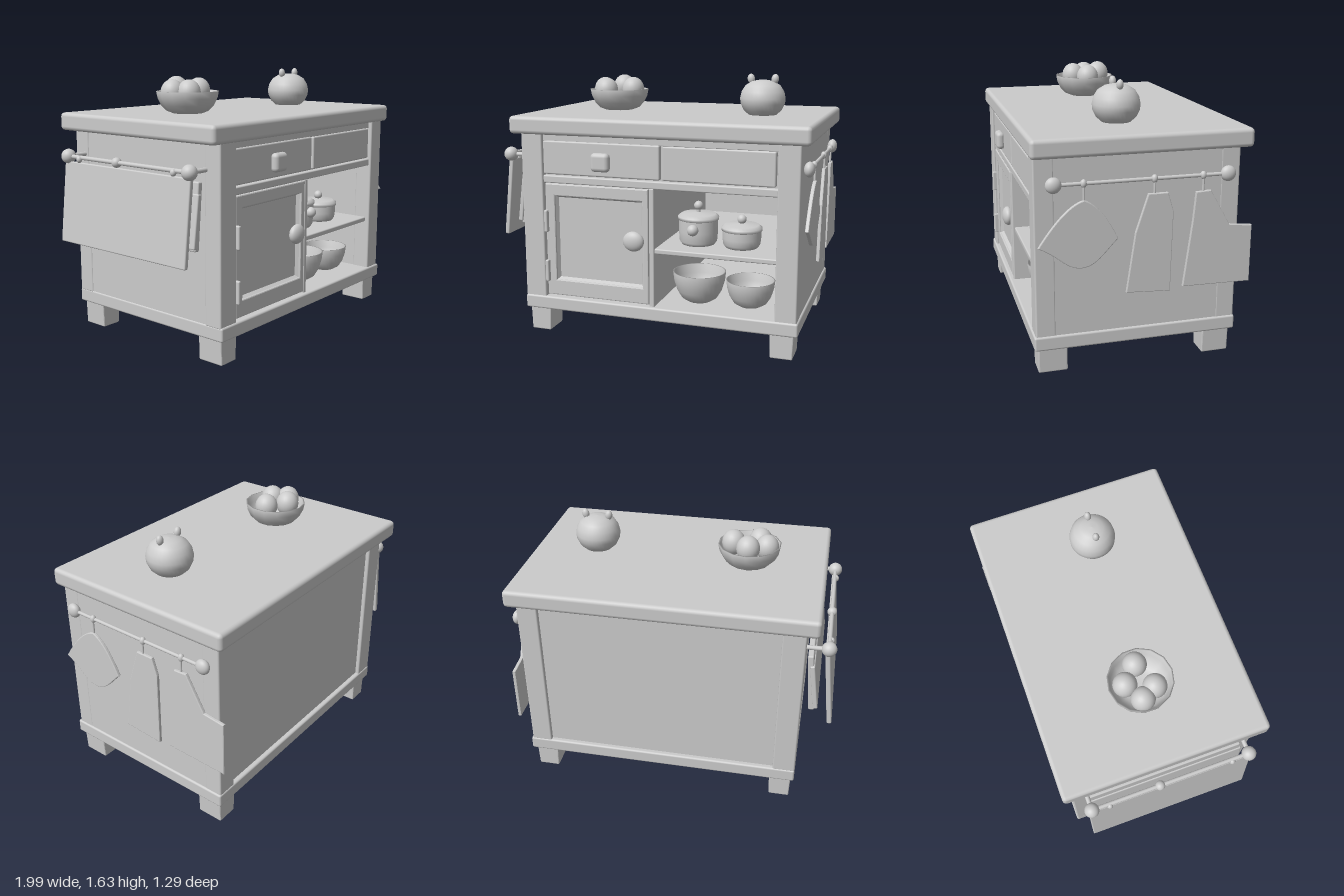
import * as THREE from 'three';
import { RoundedBoxGeometry } from 'three/addons/geometries/RoundedBoxGeometry.js';

const mat = new THREE.MeshStandardMaterial({ color: 0xcccccc });
const thin = new THREE.MeshStandardMaterial({ color: 0xcccccc, side: THREE.DoubleSide });

export function createModel() {
  const model = new THREE.Group();

  function add(name, geometry, x = 0, y = 0, z = 0, material = mat, parent = model) {
    const mesh = new THREE.Mesh(geometry, material);
    mesh.name = name;
    mesh.position.set(x, y, z);
    parent.add(mesh);
    return mesh;
  }
  // Box given by its limits on each axis, with softened edges
  function box(name, x0, x1, y0, y1, z0, z1, r = 0.008) {
    return add(name, new RoundedBoxGeometry(x1 - x0, y1 - y0, z1 - z0, 2, r),
      (x0 + x1) / 2, (y0 + y1) / 2, (z0 + z1) / 2);
  }
  const ball = (name, r, x, y, z, sx = 1, sy = 1, sz = 1) => {
    const mesh = add(name, new THREE.SphereGeometry(r, 24, 16), x, y, z);
    mesh.scale.set(sx, sy, sz);
    return mesh;
  };
  const lathe = (name, points, x, y, z, segments = 32) =>
    add(name, new THREE.LatheGeometry(points.map(p => new THREE.Vector2(...p)), segments), x, y, z, thin);
  const rod = (name, r, length, x, y, z, axis) => {
    const mesh = add(name, new THREE.CylinderGeometry(r, r, length, 12), x, y, z);
    if (axis === 'z') mesh.rotation.x = Math.PI / 2;
    if (axis === 'x') mesh.rotation.z = Math.PI / 2;
    return mesh;
  };

  // Worktop, plinth and feet
  box('worktop', -0.875, 0.99, 1.265, 1.375, -0.635, 0.635, 0.025);
  box('plinth', -0.80, 0.945, 0.15, 0.235, -0.58, 0.625, 0.012);
  for (const [x0, x1] of [[-0.78, -0.64], [0.775, 0.92]]) {
    for (const [z0, z1] of [[0.43, 0.6], [-0.555, -0.39]]) {
      const foot = box('foot', x0, x1, 0, 0.165, z0, z1, 0.008);
      // Narrow each foot slightly towards the floor
      const p = foot.geometry.attributes.position;
      for (let i = 0; i < p.count; i++) if (p.getY(i) < 0) p.setX(i, p.getX(i) * 0.92);
      foot.geometry.computeVertexNormals();
    }
  }

  // Corner posts and carcass panels
  for (const [x0, x1] of [[-0.8, -0.66], [0.805, 0.935]]) {
    box('frontPost', x0, x1, 0.225, 1.275, 0.5, 0.615, 0.01);
    box('backPost', x0, x1, 0.225, 1.275, -0.575, -0.46, 0.01);
  }
  box('leftSidePanel', 0.81, 0.933, 0.225, 1.275, -0.56, 0.6, 0.004);
  box('rightSidePanel', -0.795, -0.67, 0.225, 1.275, -0.56, 0.6, 0.004);
  box('backPanel', -0.7, 0.84, 0.225, 1.275, -0.55, -0.52, 0.004);
  box('topRail', -0.67, 0.815, 1.225, 1.275, 0.5, 0.59, 0.004);
  box('drawerRail', -0.67, 0.815, 0.965, 1.012, -0.53, 0.6);
  box('divider', 0.03, 0.062, 0.225, 0.97, -0.53, 0.6);
  box('shelf', 0.05, 0.815, 0.565, 0.597, -0.53, 0.585);
  box('drawerBacking', -0.67, 0.815, 1.0, 1.25, 0.5, 0.565, 0.004);

  // Drawers
  box('rightDrawer', -0.66, 0.098, 1.02, 1.228, 0.53, 0.6, 0.01);
  box('leftDrawer', 0.115, 0.792, 1.02, 1.225, 0.53, 0.6, 0.01);
  box('drawerKnob', -0.33, -0.21, 1.055, 1.17, 0.59, 0.645, 0.026);

  // Door: frame, sloping inner edge and sunken panel
  const door = new THREE.Group();
  door.name = 'door';
  model.add(door);
  const rectangle = (P, x0, x1, y0, y1) => {
    const path = new P();
    path.moveTo(x0, y0); path.lineTo(x1, y0); path.lineTo(x1, y1); path.lineTo(x0, y1);
    path.closePath();
    return path;
  };
  const frame = rectangle(THREE.Shape, -0.645, 0.02, 0.252, 0.955);
  frame.holes.push(rectangle(THREE.Path, -0.595, -0.005, 0.34, 0.893));
  add('doorFrame', new THREE.ExtrudeGeometry(frame, {
    depth: 0.04, bevelEnabled: true, bevelSize: 0.007, bevelThickness: 0.007, bevelSegments: 2
  }), 0, 0, 0.555, mat, door);
  const slope = new THREE.CylinderGeometry(Math.SQRT1_2, Math.SQRT1_2 * 0.93, 0.03, 4, 1, true);
  slope.rotateY(Math.PI / 4).rotateX(Math.PI / 2);
  slope.scale(0.59, 0.553, 1);
  add('doorBevel', slope.toNonIndexed(), -0.3, 0.617, 0.585, thin, door).geometry.computeVertexNormals();
  add('doorPanel', new THREE.BoxGeometry(0.62, 0.6, 0.02), -0.3, 0.617, 0.56, mat, door);
  ball('doorKnob', 0.065, -0.065, 0.64, 0.61, 1.03, 0.95, 0.55);
  for (const y of [0.405, 0.725]) box('hinge', -0.655, -0.632, y - 0.07, y + 0.07, 0.59, 0.628, 0.008);

  // Lidded pots on the shelf
  function pot(x, z, r, height, knobY) {
    const y = 0.597;
    lathe('pot', [[0, 0], [r * 0.82, 0], [r * 0.93, 0.02], [r * 0.97, height * 0.5],
      [r * 0.96, height]], x, y, z);
    lathe('potLid', [[r * 0.9, height - 0.012], [r * 1.02, height - 0.01], [r * 1.02, height + 0.008],
      [r * 0.85, height + 0.024], [0, height + 0.034]], x, y, z);
    rod('lidStem', 0.012, 0.05, x, knobY - 0.03, z);
    ball('lidKnob', 0.028, x, knobY, z);
  }
  pot(0.27, 0.36, 0.125, 0.165, 0.835);
  pot(0.545, 0.36, 0.122, 0.115, 0.768);
  ball('potHandle', 0.035, 0.27, 0.705, 0.485);

  // Open bowls, walled inside and out
  function bowl(name, x, y, z, r, h, segments = 32) {
    const outer = [[0, 0], [0.45, 0], [0.68, 0.13], [0.85, 0.38], [0.96, 0.7], [1, 1]];
    const inner = [[0.95, 1], [0.9, 0.7], [0.78, 0.4], [0.6, 0.2], [0.4, 0.1], [0, 0.1]];
    return lathe(name, [...outer, ...inner].map(([a, b]) => [a * r, b * h]), x, y, z, segments);
  }
  bowl('largeMixingBowl', 0.285, 0.235, 0.38, 0.165, 0.188);
  bowl('smallMixingBowl', 0.61, 0.235, 0.38, 0.15, 0.162);

  // Bowl of eggs on the worktop
  bowl('eggBowl', -0.39, 1.373, 0.005, 0.195, 0.137, 14);
  for (const [x, y, z] of [[-0.39, 1.52, -0.09], [-0.5, 1.505, -0.02], [-0.29, 1.51, 0.005], [-0.45, 1.505, 0.07]])
    ball('egg', 0.072, x, y, z, 1, 1.1, 1);

  // Round jar with two ears, flattened underneath
  lathe('roundJar', [[0, 0], [0.085, 0], [0.118, 0.03], [0.138, 0.072], [0.141, 0.105], [0.132, 0.145],
    [0.108, 0.183], [0.07, 0.207], [0.035, 0.215], [0, 0.218]], 0.592, 1.373, 0.058);
  for (const side of [-1, 1]) {
    const ear = ball('jarEar', 0.023, 0.592 + side * 0.075, 1.595, 0.058, 1, 1.35, 0.9);
    ear.rotation.z = -side * 0.15;
  }

  // Side rails with ball ends and wall brackets
  function rail(x, wallX, r) {
    rod('rail', r, 1.0, x, 1.12, 0.01, 'z');
    for (const z of [-0.49, 0.51]) {
      ball('railEnd', 0.045, x, 1.12, z, x > 0 ? 0.7 : 1, 1, 1);
      rod('railBracket', 0.014, Math.abs(x - wallX), (x + wallX) / 2, 1.12, z, 'x');
    }
  }
  rail(0.965, 0.925, 0.011);
  rail(-0.93, -0.79, 0.013);

  // Cloths and board hanging on the left rail, outlined in (z, y)
  function hanging(name, shape, x, depth = 0.012) {
    const g = new THREE.ExtrudeGeometry(shape, {
      depth, bevelEnabled: true, bevelSize: 0.005, bevelThickness: 0.005, bevelSegments: 2, curveSegments: 10
    });
    add(name, g, x).rotation.y = -Math.PI / 2;
  }
  const outline = points => new THREE.Shape(points.map(p => new THREE.Vector2(...p)));
  const holder = new THREE.Shape();
  holder.moveTo(0.345, 1.025);
  holder.quadraticCurveTo(0.45, 1.0, 0.595, 0.78);
  holder.bezierCurveTo(0.46, 0.71, 0.45, 0.65, 0.36, 0.648);
  holder.bezierCurveTo(0.28, 0.65, 0.24, 0.72, 0.16, 0.8);
  holder.quadraticCurveTo(0.25, 0.99, 0.345, 1.025);
  hanging('potHolder', holder, 0.98);
  hanging('narrowCloth', outline([[-0.02, 1.035], [-0.127, 1.035], [-0.16, 0.93], [-0.15, 0.46],
    [0.1, 0.475], [0.05, 0.82]]), 0.98);
  hanging('wideCloth', outline([[-0.3, 1.025], [-0.38, 1.03], [-0.5, 0.82], [-0.637, 0.805],
    [-0.637, 0.47], [-0.235, 0.477], [-0.285, 0.86]]), 0.98);
  for (const z of [0.345, -0.055, -0.34]) {
    ball('hookRing', 0.02, 0.967, 1.12, z, 0.9, 1.2, 0.9);
    rod('hook', 0.007, 0.09, 0.972, 1.068, z);
  }

  // Towel over the right rail: two leaning sheets
  function sheet(name, xTop, yTop, xLow, yLow, z0, z1, thickness) {
    const length = Math.hypot(xTop - xLow, yTop - yLow);
    const mesh = add(name, new RoundedBoxGeometry(thickness, length, z1 - z0, 2, 0.008),
      (xTop + xLow) / 2, (yTop + yLow) / 2, (z0 + z1) / 2);
    mesh.rotation.z = -Math.atan2(xTop - xLow, yTop - yLow);
  }
  sheet('towelOuter', -0.925, 1.09, -0.978, 0.595, -0.512, 0.525, 0.03);
  sheet('towelInner', -0.845, 0.99, -0.885, 0.685, -0.5, 0.51, 0.03);
  sheet('towelInnerFold', -0.83, 1.055, -0.862, 0.668, -0.49, 0.5, 0.035);
  ball('railCollar', 0.03, -0.93, 1.12, -0.06);
  for (const z of [-0.38, 0.4]) ball('towelRing', 0.018, -0.94, 1.11, z, 1, 1.2, 1);

  return model;
}
